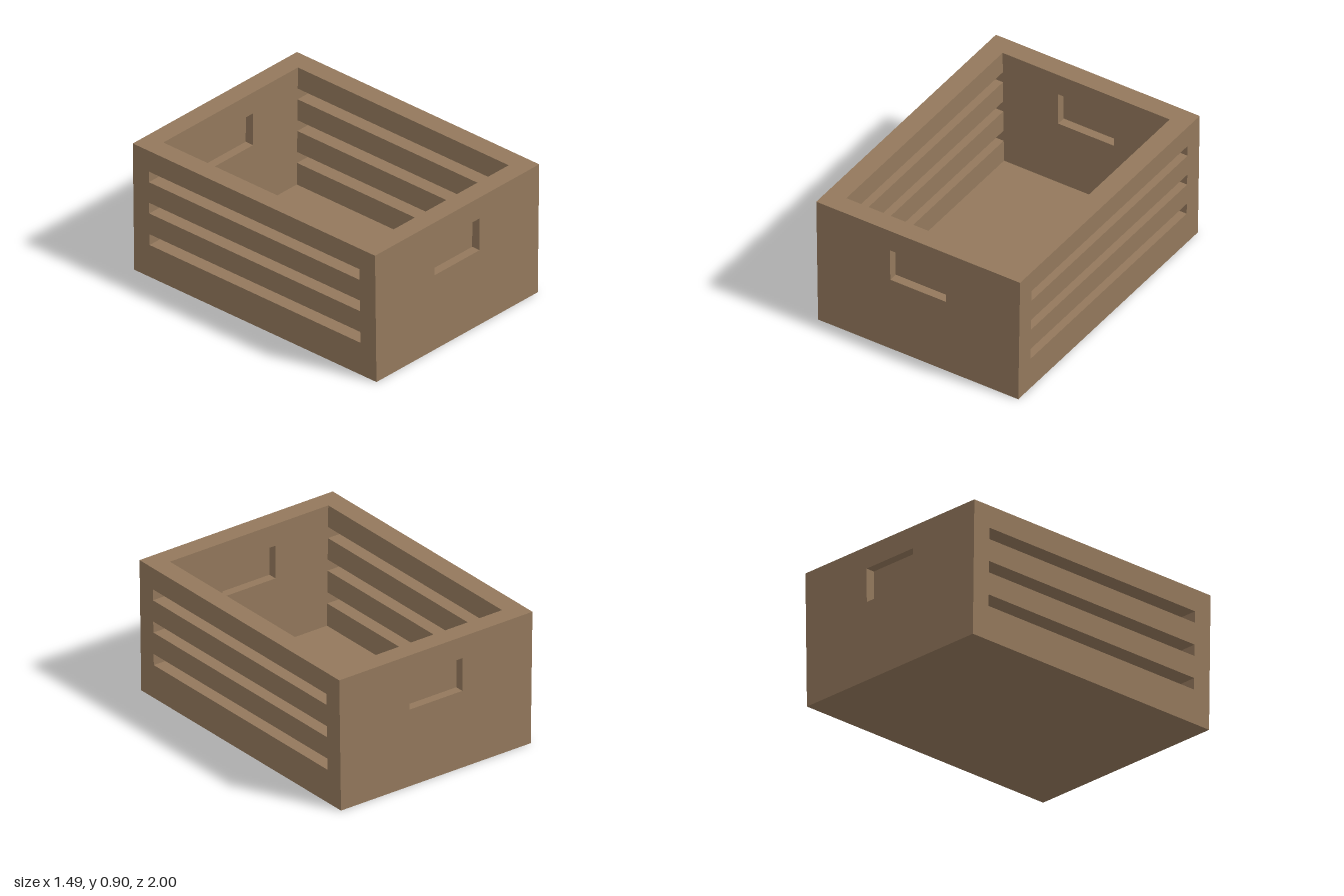
import * as THREE from 'three';

const HEIGHT = 0.9, HALF_X = 0.743, INNER_X = 0.609, HALF_Z = 1, INNER_Z = 0.87;
const HOLE_X = 0.205, HOLE_Y0 = 0.527, HOLE_Y1 = 0.752;

export function createModel() {
  const crate = new THREE.Group();
  crate.name = 'crate';
  const wood = new THREE.MeshStandardMaterial({ color: 0x93785c });

  // The crate narrows slightly in x towards its base
  const taper = (y) => 0.982 + 0.018 * (y / HEIGHT);

  function add(geometry, name) {
    const p = geometry.attributes.position;
    for (let i = 0; i < p.count; i++) p.setX(i, p.getX(i) * taper(p.getY(i)));
    geometry.computeVertexNormals();
    const mesh = new THREE.Mesh(geometry, wood);
    mesh.name = name;
    crate.add(mesh);
  }

  function block(name, x0, x1, y0, y1, z0, z1) {
    const g = new THREE.BoxGeometry(x1 - x0, y1 - y0, z1 - z0);
    g.translate((x0 + x1) / 2, (y0 + y1) / 2, (z0 + z1) / 2);
    add(g, name);
  }

  const rectangle = (Type, x, y0, y1) => new Type([
    new THREE.Vector2(-x, y0), new THREE.Vector2(x, y0),
    new THREE.Vector2(x, y1), new THREE.Vector2(-x, y1),
  ]);

  // End walls, each with a handle recess on both faces
  for (const [end, side] of [['front', 1], ['back', -1]]) {
    const shape = rectangle(THREE.Shape, HALF_X, 0, HEIGHT);
    shape.holes.push(rectangle(THREE.Path, HOLE_X, HOLE_Y0, HOLE_Y1));
    const wall = new THREE.ExtrudeGeometry(shape, { depth: HALF_Z - INNER_Z, bevelEnabled: false });
    wall.translate(0, 0, side > 0 ? INNER_Z : -HALF_Z);
    add(wall, end + 'Wall');

    const mid = side * (HALF_Z + INNER_Z) / 2;
    block(end + 'HandlePanel', -HOLE_X, HOLE_X, HOLE_Y0, HOLE_Y1, mid - 0.004, mid + 0.004);
  }

  // Side boards with open slots between them
  const boards = [[0, 0.228], [0.305, 0.453], [0.529, 0.676], [0.752, HEIGHT]];
  for (const [y0, y1] of boards) {
    block('leftBoard', INNER_X, HALF_X, y0, y1, -INNER_Z, INNER_Z);
    block('rightBoard', -HALF_X, -INNER_X, y0, y1, -INNER_Z, INNER_Z);
  }

  block('floor', -INNER_X, INNER_X, 0, 0.076, -INNER_Z, INNER_Z);
  return crate;
}
